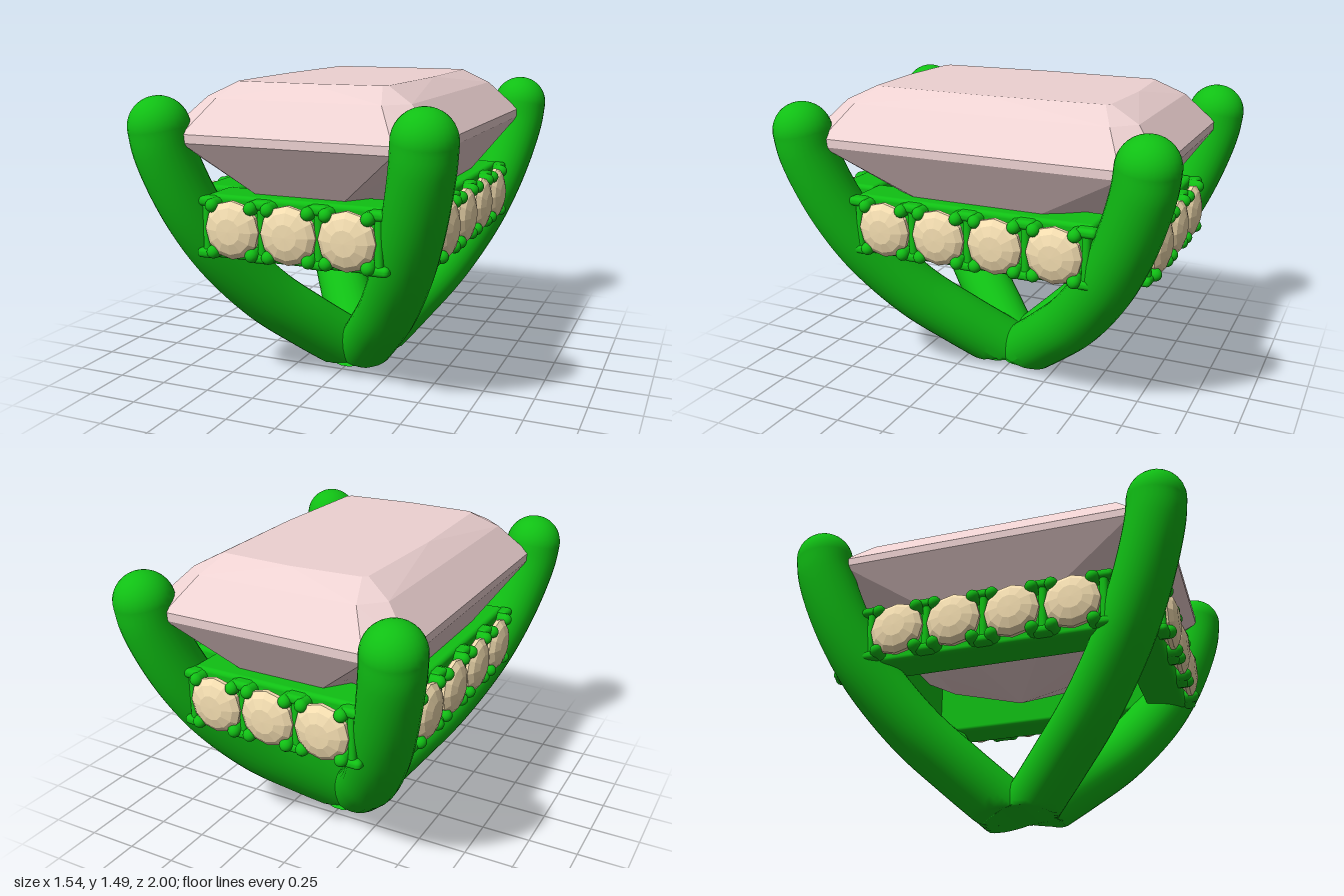
import * as THREE from 'three';
import { ConvexGeometry } from 'three/addons/geometries/ConvexGeometry.js';
import { RoundedBoxGeometry } from 'three/addons/geometries/RoundedBoxGeometry.js';

const metal = new THREE.MeshStandardMaterial({ color: 0x10c014 });
const gemMat = new THREE.MeshStandardMaterial({ color: 0xeed2d2, flatShading: true });
const stoneMat = new THREE.MeshStandardMaterial({ color: 0xf3ddb0, flatShading: true });

function add(parent, name, geometry, material, x = 0, y = 0, z = 0) {
  const mesh = new THREE.Mesh(geometry, material);
  mesh.name = name;
  mesh.position.set(x, y, z);
  parent.add(mesh);
  return mesh;
}

// Curved prong running from the base to a round tip; its foot is trimmed to a shallow arch
const PRONG_R = 0.142;
function prong(parent, sx, sz) {
  const path = [[-0.1, -0.085], [0, 0.01], [0.25, 0.235], [0.44, 0.42], [0.62, 0.66],
    [0.72, 0.845], [0.795, 1.03], [0.845, 1.2], [0.858, 1.295]];
  const curve = new THREE.CatmullRomCurve3(
    path.map(([d, y]) => new THREE.Vector3(sx * d * 0.733, y, sz * d)));
  const tube = new THREE.TubeGeometry(curve, 72, PRONG_R, 28);
  const p = tube.attributes.position;
  for (let i = 0; i < p.count; i++) {
    const arch = Math.max(0, 0.04 * (1 - (p.getZ(i) / 0.2) ** 2));
    if (p.getY(i) < arch) p.setY(i, arch);
  }
  const smooth = tube.attributes.normal.clone();
  tube.computeVertexNormals();
  // keep the tube's own smooth normals away from the trimmed foot
  for (let i = 0; i < p.count; i++) {
    if (p.getY(i) > 0.1) tube.attributes.normal.setXYZ(i, smooth.getX(i), smooth.getY(i), smooth.getZ(i));
  }
  add(parent, 'prong', tube, metal);
  const tip = path[path.length - 1];
  add(parent, 'prongTip', new THREE.SphereGeometry(PRONG_R, 28, 18), metal,
    sx * tip[0] * 0.733, tip[1], sz * tip[0]);
}

// Step-cut centre gem: chamfered rectangles [halfX, halfZ, chamferX, chamferZ, y, edge bow]
function centreGem() {
  const levels = [
    [0.29, 0.42, 0.16, 0.22, 0.81, 0],
    [0.5, 0.72, 0.28, 0.39, 0.99, 0],
    [0.645, 0.88, 0.145, 0.14, 1.23, 0],
    [0.645, 0.88, 0.145, 0.14, 1.27, 0],
    [0.5, 0.745, 0.1, 0.1, 1.42, 0],
    [0.37, 0.6, 0.02, 0.02, 1.49, 0.02],
  ];
  const points = [new THREE.Vector3(0, 0.645, 0)];
  for (const [hx, hz, cx, cz, y, bow] of levels) {
    for (const s of [-1, 1]) {
      for (const t of [-1, 1]) {
        points.push(new THREE.Vector3(s * (hx - cx), y, t * hz));
        points.push(new THREE.Vector3(s * hx, y, t * (hz - cz)));
      }
      if (bow) {
        points.push(new THREE.Vector3(s * (hx + bow), y, 0));
        points.push(new THREE.Vector3(0, y, s * (hz + bow)));
      }
    }
  }
  return new ConvexGeometry(points);
}

// Small faceted stone, table facing +z
const stoneGeo = new THREE.LatheGeometry(
  [[0, -0.09], [0.135, -0.012], [0.135, 0.008], [0.108, 0.03], [0.06, 0.046], [0, 0.048]]
    .map(([r, h]) => new THREE.Vector2(r, h)), 12).rotateX(Math.PI / 2);
const clawGeo = new THREE.CapsuleGeometry(0.032, 0.06, 6, 12).rotateX(Math.PI / 2);
const saddleGeo = new RoundedBoxGeometry(0.1, 0.045, 0.07, 3, 0.02);
const postGeo = new RoundedBoxGeometry(0.04, 0.28, 0.07, 3, 0.018);

// One gallery rail with its row of stones, facing +z before it is turned
function rail(name, halfLength, face, count, pitch, angle) {
  const group = new THREE.Group();
  group.name = name;
  const y = 0.842;
  add(group, 'railBar', new RoundedBoxGeometry(halfLength * 2, 0.3, 0.2, 4, 0.022), metal, 0, y, face - 0.1);
  for (let i = 0; i < count; i++) {
    const x = (i - (count - 1) / 2) * pitch;
    add(group, 'sideStone', stoneGeo, stoneMat, x, y, face + 0.035);
    for (const sx of [-1, 1]) {
      for (const sy of [-1, 1]) {
        add(group, 'claw', clawGeo, metal, x + sx * 0.098, y + sy * 0.108, face + 0.012);
      }
    }
  }
  // metal between neighbouring stones and at the row ends
  for (let i = 0; i <= count; i++) {
    const x = (i - count / 2) * pitch;
    add(group, 'post', postGeo, metal, x, y, face);
    for (const sy of [-1, 1]) add(group, 'saddle', saddleGeo, metal, x, y + sy * 0.122, face + 0.01);
  }
  group.rotation.y = angle;
  return group;
}

export function createModel() {
  const model = new THREE.Group();
  model.name = 'ringHead';

  for (const sx of [-1, 1]) for (const sz of [-1, 1]) prong(model, sx, sz);

  add(model, 'centreGem', centreGem(), gemMat);

  model.add(rail('frontRail', 0.43, 0.8, 3, 0.28, 0));
  model.add(rail('backRail', 0.43, 0.8, 3, 0.28, Math.PI));
  model.add(rail('leftRail', 0.61, 0.57, 4, 0.292, Math.PI / 2));
  model.add(rail('rightRail', 0.61, 0.57, 4, 0.292, -Math.PI / 2));

  return model;
}
